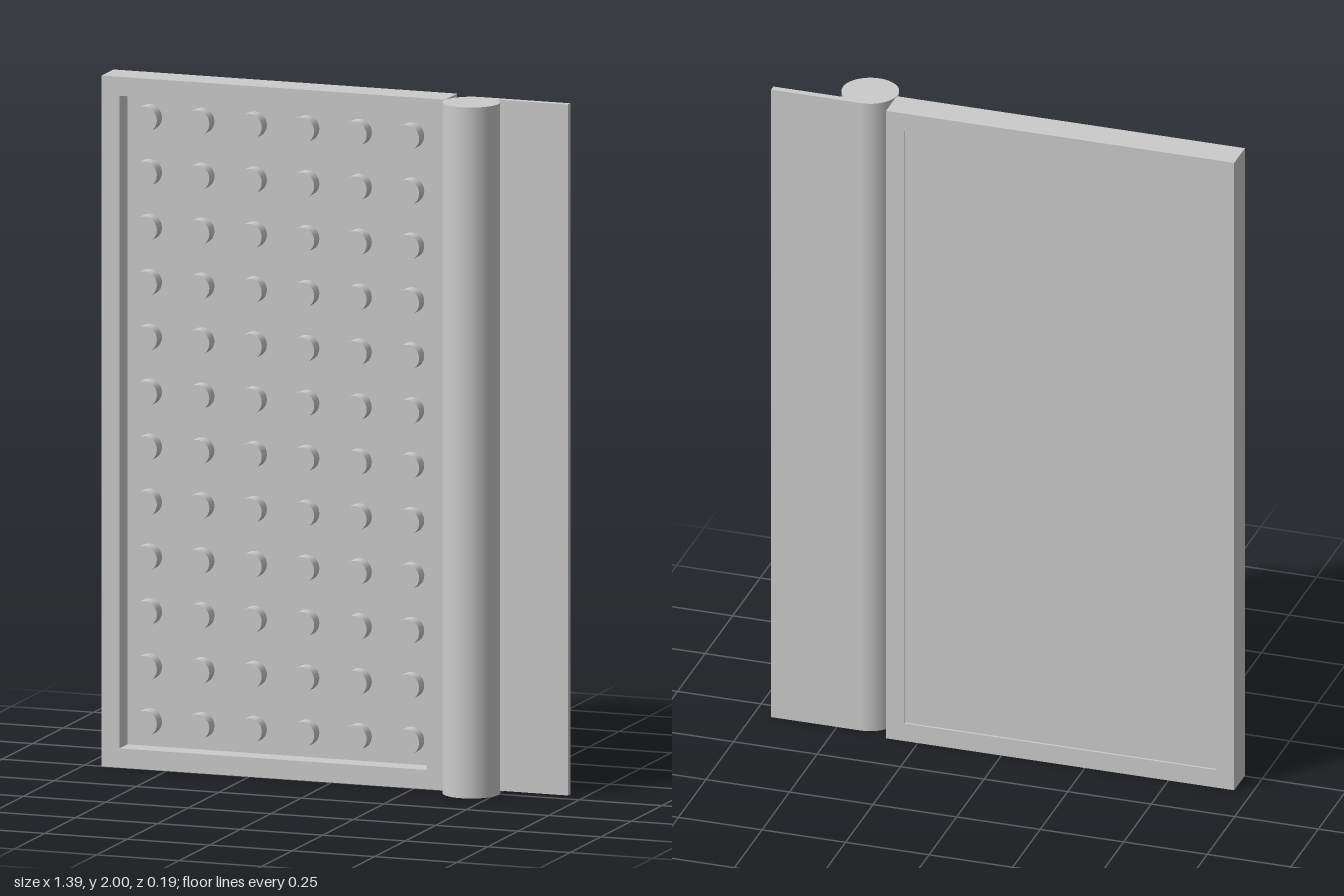
import * as THREE from 'three';

export function createModel() {
  const model = new THREE.Group();
  model.name = 'studdedPanel';
  const material = new THREE.MeshStandardMaterial({ color: 0xcccccc });

  const add = (name, geometry, x, y, z, parent = model) => {
    const mesh = new THREE.Mesh(geometry, material);
    mesh.name = name;
    mesh.position.set(x, y, z);
    parent.add(mesh);
    return mesh;
  };
  const rect = (PathType, x0, y0, x1, y1) => new PathType([
    new THREE.Vector2(x0, y0), new THREE.Vector2(x1, y0),
    new THREE.Vector2(x1, y1), new THREE.Vector2(x0, y1),
  ]);

  // Rectangular frame with a raised rim on both faces of the panel
  const back = -0.094, front = 0.003;
  const outline = rect(THREE.Shape, -0.697, 0, 0.345, 2);
  outline.holes.push(rect(THREE.Path, -0.643, 0.056, 0.29, 1.945));
  add('frame', new THREE.ExtrudeGeometry(outline, { depth: front - back, bevelEnabled: false }), 0, 0, back);

  // Panel set deep from the front, almost flush at the back
  const panelFront = -0.062, panelBack = -0.087;
  add('panel', new THREE.BoxGeometry(0.933, 1.889, panelFront - panelBack),
    -0.1765, 1.0005, (panelFront + panelBack) / 2);

  // Grid of round studs on the panel
  const studs = new THREE.Group();
  studs.name = 'studs';
  model.add(studs);
  const length = 0.042, pitch = 0.159;
  const studGeometry = new THREE.CylinderGeometry(0.037, 0.037, length, 32).rotateX(Math.PI / 2);
  for (let row = 0; row < 12; row++) {
    for (let col = 0; col < 6; col++) {
      add('stud', studGeometry, -0.575 + col * pitch, 0.128 + row * pitch, panelFront + length / 2, studs);
    }
  }

  // Hinge barrel beside the frame, with a thin leaf tangent to its back
  const radius = 0.082, barrelX = 0.427, barrelZ = 0.012;
  add('hingeBarrel', new THREE.CylinderGeometry(radius, radius, 2, 64), barrelX, 1, barrelZ);
  const leafEnd = 0.697, leafThickness = 0.021;
  add('hingeLeaf', new THREE.BoxGeometry(leafEnd - barrelX, 2, leafThickness),
    (leafEnd + barrelX) / 2, 1, barrelZ - radius + leafThickness / 2);

  return model;
}
